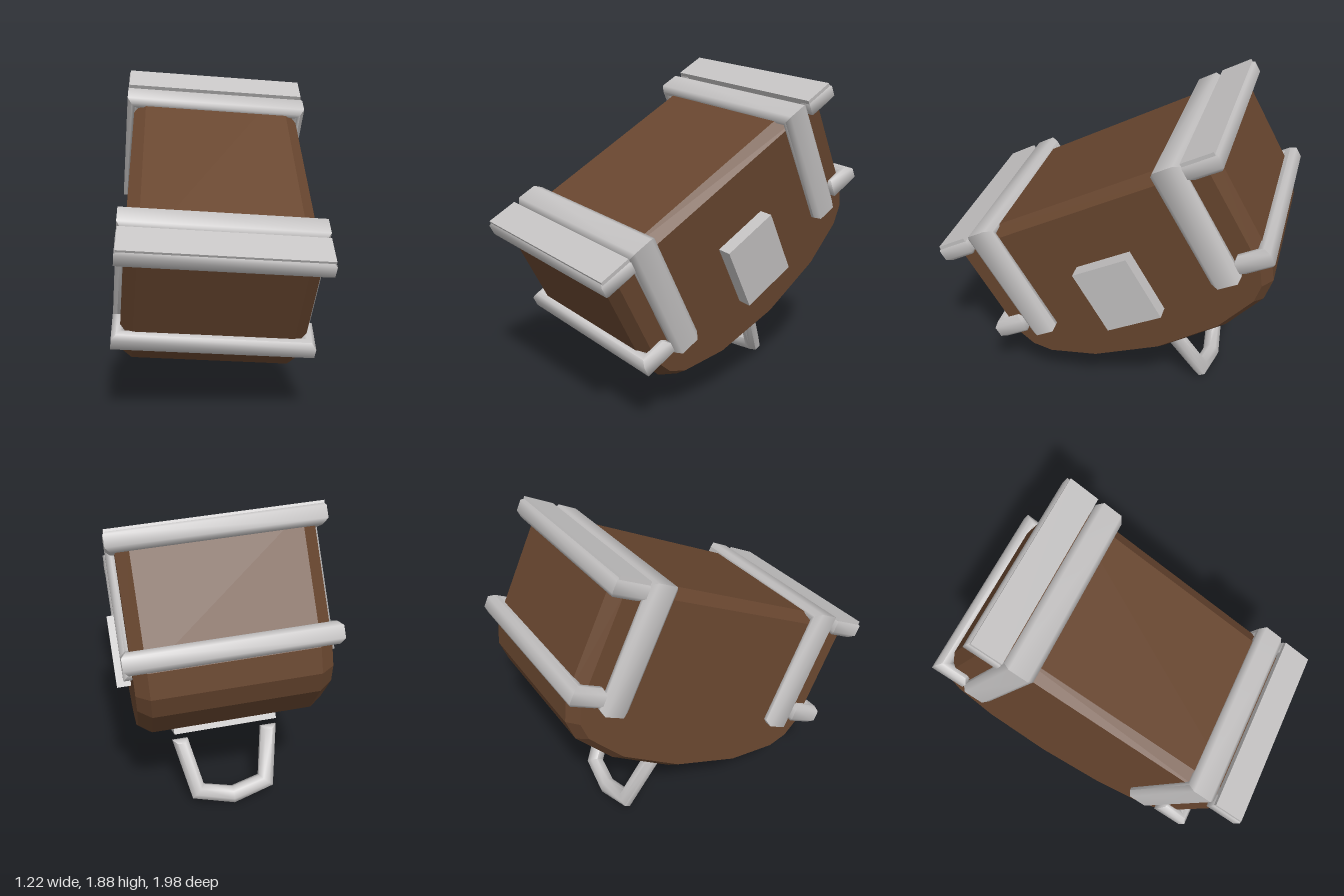
import * as THREE from 'three';
import { toCreasedNormals } from 'three/addons/utils/BufferGeometryUtils.js';

// Extrude a closed outline, centred on its depth, with chamfers kept inside the outline
function bevelled(points, depth, bevel, thickness = bevel) {
  const shape = new THREE.Shape(points.map(([x, y]) => new THREE.Vector2(x, y)));
  const geo = new THREE.ExtrudeGeometry(shape, {
    depth: depth - 2 * thickness, bevelEnabled: true, bevelSegments: 1,
    bevelSize: bevel, bevelOffset: -bevel, bevelThickness: thickness,
  });
  return geo.translate(0, 0, -depth / 2 + thickness);
}

// Complete a right-hand half outline by mirroring it across x = 0
const mirrored = (half) =>
  half.concat(half.slice().reverse().filter(([x]) => x !== 0).map(([x, y]) => [-x, y]));

export function createModel() {
  const leather = new THREE.MeshStandardMaterial({ color: 0x68462f });
  leather.name = 'brown leather';
  const metal = new THREE.MeshStandardMaterial({ color: 0xc4c2c2 });
  metal.name = 'pale metal';

  const pouch = new THREE.Group();
  pouch.name = 'pouch';
  const add = (parent, name, geo, mat) => {
    const mesh = new THREE.Mesh(geo, mat);
    mesh.name = name;
    parent.add(mesh);
    return mesh;
  };
  const smooth = (geo) => toCreasedNormals(geo, 1.0);

  // Body: flat top, upright ends and a rounded faceted belly
  const profile = mirrored([[0, 0.215], [0.42, 0.262], [0.7, 0.37], [0.8, 0.465], [0.85, 0.6], [0.85, 1.28]]);
  add(pouch, 'body', bevelled(profile, 1.01, 0.05, 0.07).rotateY(Math.PI / 2), leather);

  // Fittings at each end: a strap over the top and two corner bars
  const strapOutline = [[0.55, 0.57], [0.55, 1.315], [-0.55, 1.315], [-0.55, 0.57],
    [-0.48, 0.57], [-0.48, 1.245], [0.48, 1.245], [0.48, 0.57]];
  const barOutline = [[0.55, 0.70], [0.55, 0.9], [-0.55, 0.9], [-0.55, 0.70],
    [-0.48, 0.70], [-0.48, 0.82], [0.48, 0.82], [0.48, 0.70]];
  for (const front of [true, false]) {
    const end = new THREE.Group();
    end.name = front ? 'frontFittings' : 'backFittings';
    if (!front) end.rotation.y = Math.PI;
    add(end, 'strap', smooth(bevelled(strapOutline, 0.176, 0.025, 0.03)), metal).position.z = 0.604;
    const bar = smooth(bevelled(barOutline, 0.115, 0.025).rotateX(Math.PI / 2));
    add(end, 'lowerBar', bar, metal).position.y = 0.662;
    add(end, 'upperBar', bar, metal).position.y = 1.257;
    add(end, 'topPlate', new THREE.BoxGeometry(1.09, 0.04, 0.185), metal).position.set(0, 1.295, 0.795);
    pouch.add(end);
  }

  // Square plate on the left side
  add(pouch, 'sidePlate', new THREE.BoxGeometry(0.1, 0.405, 0.35), metal).position.set(0.535, 0.71, 0);

  // Plate under the belly with a hanging loop below it
  add(pouch, 'bottomPlate', new THREE.BoxGeometry(0.6, 0.05, 0.21), metal).position.set(0, 0.21, 0.01);
  const loop = [[0.31, 0.14], [0.24, -0.215], [0, -0.28], [-0.24, -0.215], [-0.31, 0.14],
    [-0.22, 0.14], [-0.165, -0.145], [0, -0.185], [0.165, -0.145], [0.22, 0.14]];
  add(pouch, 'loop', smooth(bevelled(loop.reverse(), 0.09, 0.025)), metal).position.z = 0.015;

  // Tilt the whole pouch: back end raised, slight lean sideways
  const across = new THREE.Vector3(1, -0.073, -0.077).normalize();
  const forward = new THREE.Vector3(0.033, -0.477, 0.879).normalize();
  const up = new THREE.Vector3().crossVectors(forward, across).normalize();
  forward.crossVectors(across, up);
  pouch.quaternion.setFromRotationMatrix(new THREE.Matrix4().makeBasis(across, up, forward));
  pouch.position.set(-0.122, 0.255, -0.47);

  const model = new THREE.Group();
  model.name = 'model';
  model.add(pouch);
  return model;
}
